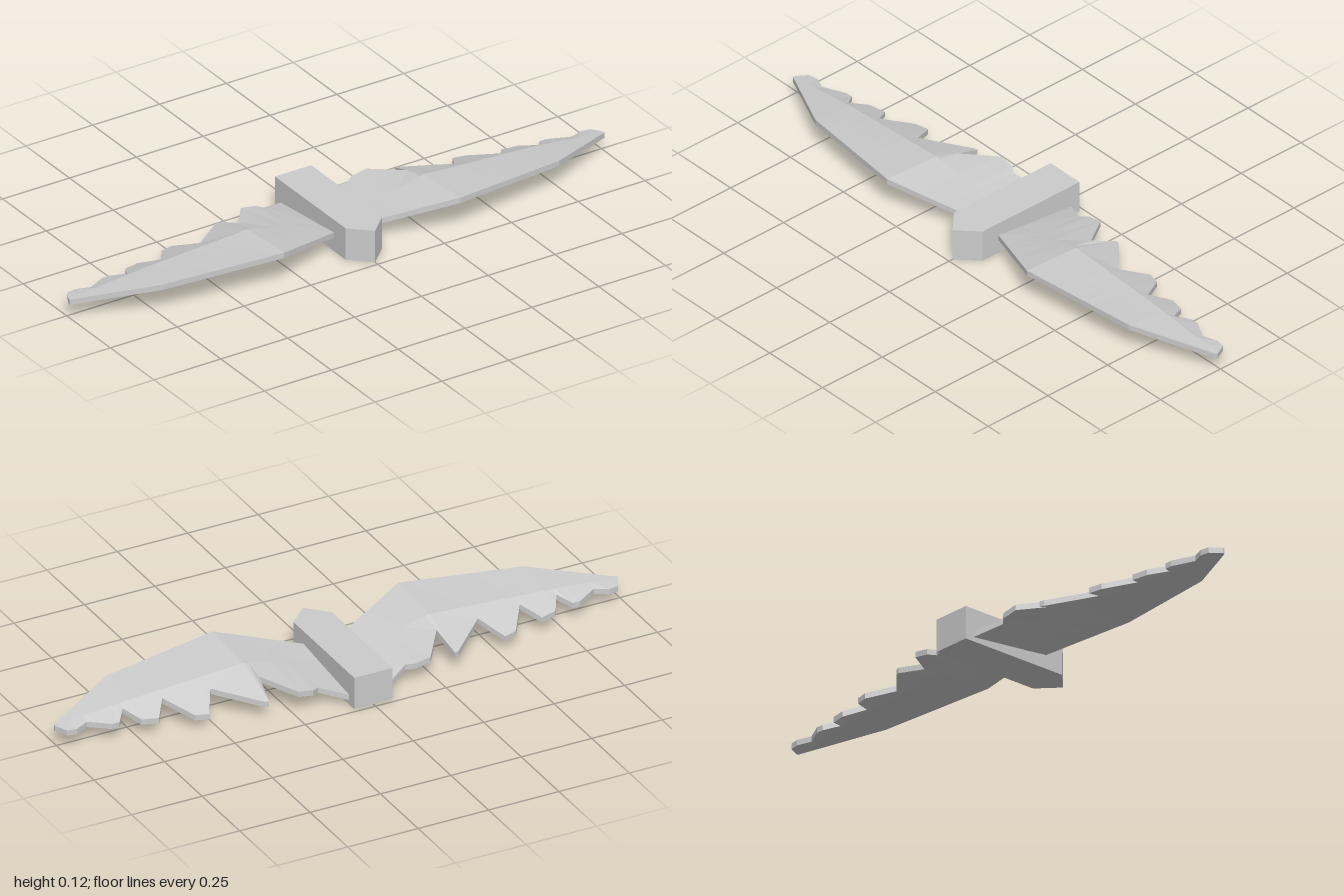
import * as THREE from 'three';

const THICK = 0.019;

// Top of the leading edge as [x, y, z], root to tip
const LEADING = [[0.06, 0.065, 0.1], [0.33, 0.124, 0.217], [0.74, 0.105, 0.155], [1, 0.066, 0.018]];
// Top of the crease running along the span
const RIDGE = [[0.06, 0.054, 0.005], [0.33, 0.114, 0.01], [0.74, 0.09, 0.01], [1, 0.066, 0.014]];
// Top of the feathered trailing edge
const TRAILING = [
  [0.06, 0.032, -0.205], [0.155, 0.062, -0.157], [0.18, 0.068, -0.175], [0.235, 0.077, -0.175],
  [0.315, 0.098, -0.065], [0.33, 0.06, -0.16], [0.345, 0.06, -0.155], [0.475, 0.085, -0.04],
  [0.525, 0.05, -0.127], [0.57, 0.052, -0.115], [0.635, 0.083, -0.02], [0.68, 0.055, -0.083],
  [0.735, 0.058, -0.07], [0.77, 0.077, -0.01], [0.805, 0.06, -0.055], [0.83, 0.06, -0.055],
  [0.9, 0.066, -0.015], [0.945, 0.063, -0.035], [0.978, 0.063, -0.03], [1, 0.066, 0.01],
];

// Point on a polyline at a given x
function at(line, x) {
  let i = 1;
  while (i < line.length - 1 && line[i][0] < x) i++;
  const a = line[i - 1], b = line[i];
  const t = (x - a[0]) / (b[0] - a[0]);
  return [x, a[1] + (b[1] - a[1]) * t, a[2] + (b[2] - a[2]) * t];
}

// Thin plate lofted through chordwise sections
function wingGeometry() {
  const stations = [...TRAILING.map((p) => p[0]), 0.74].sort((a, b) => a - b);
  const sections = stations.map((x) => {
    const top = [at(LEADING, x), at(RIDGE, x), at(TRAILING, x)];
    const under = top.map(([px, py, pz]) => [px, py - THICK, pz]).reverse();
    return [...top, ...under];
  });
  const pos = [];
  const tri = (a, b, c) => pos.push(...a, ...b, ...c);
  for (let s = 0; s < sections.length - 1; s++) {
    const a = sections[s], b = sections[s + 1];
    for (let k = 0; k < 6; k++) {
      const n = (k + 1) % 6;
      tri(a[k], b[k], b[n]);
      tri(a[k], b[n], a[n]);
    }
  }
  // Root and tip caps
  const r = sections[0], t = sections[sections.length - 1];
  for (let k = 1; k < 5; k++) {
    tri(r[0], r[k], r[k + 1]);
    tri(t[0], t[k + 1], t[k]);
  }
  const g = new THREE.BufferGeometry();
  g.setAttribute('position', new THREE.Float32BufferAttribute(pos, 3));
  g.computeVertexNormals();
  return g;
}

export function createModel() {
  const group = new THREE.Group();
  const mat = new THREE.MeshStandardMaterial({ color: 0xcccccc, flatShading: true });

  // Straight body with a pointed front
  const plan = new THREE.Shape([[-0.068, 0.235], [-0.068, -0.17], [0, -0.235], [0.068, -0.17], [0.068, 0.235]]
    .map(([x, y]) => new THREE.Vector2(x, y)));
  const bodyGeo = new THREE.ExtrudeGeometry(plan, { depth: 0.112, bevelEnabled: false });
  bodyGeo.rotateX(-Math.PI / 2);
  const body = new THREE.Mesh(bodyGeo, mat);
  body.name = 'body';
  group.add(body);

  // Mirrored wings
  const geo = wingGeometry();
  for (const [name, side] of [['leftWing', 1], ['rightWing', -1]]) {
    const wing = new THREE.Mesh(geo, mat);
    wing.name = name;
    wing.scale.x = side;
    group.add(wing);
  }
  return group;
}
